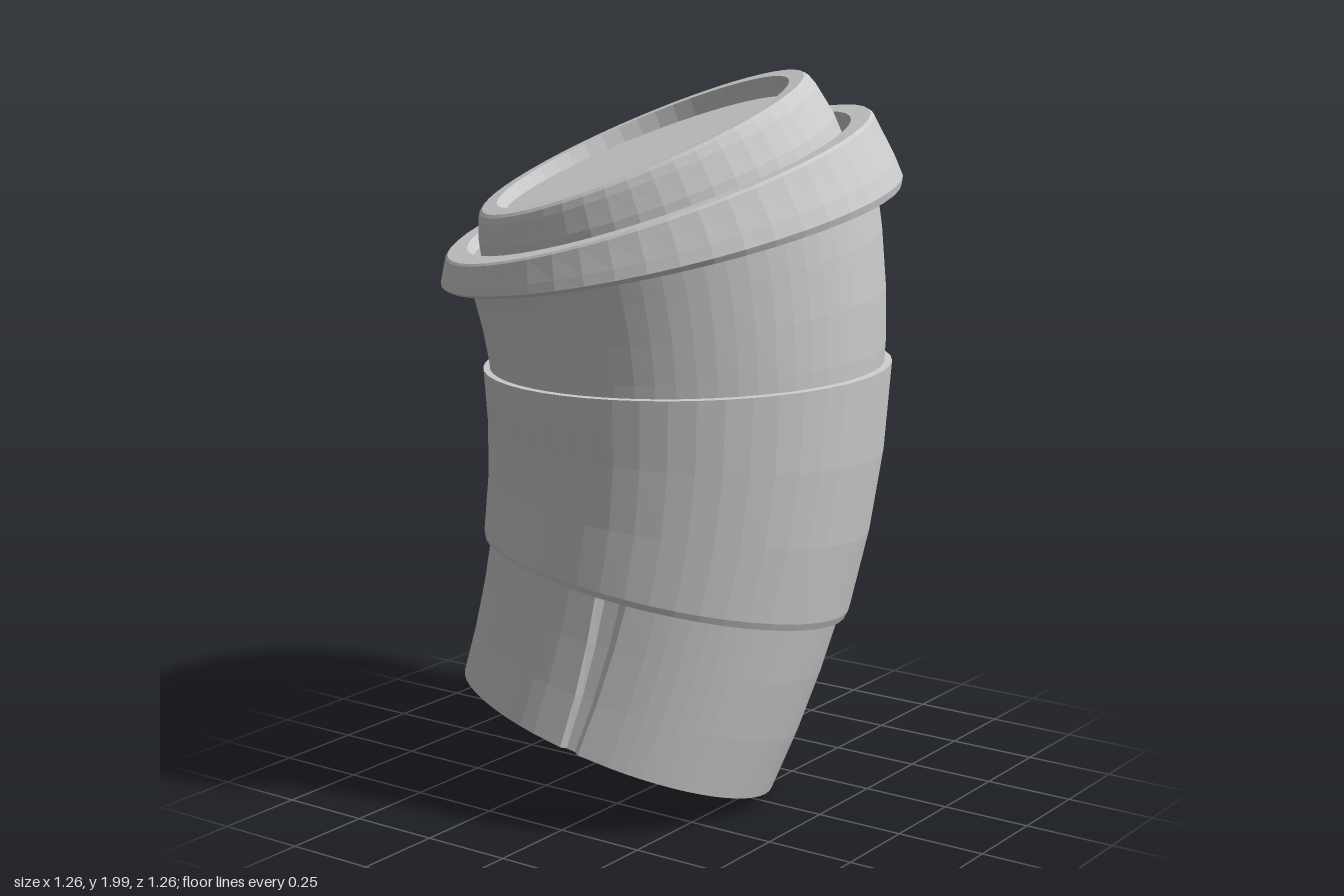
import * as THREE from 'three';

const DEG = Math.PI / 180;

// Lean of the cup's axis (degrees) at distances along it
const LEAN = [[0, 21], [0.47, 12.5], [1.06, -1.2], [1.4, -12], [1.55, -18.5], [1.68, -23], [1.8, -24]];

function leanAt(s) {
  for (let i = 1; i < LEAN.length; i++) {
    const [s0, a0] = LEAN[i - 1], [s1, a1] = LEAN[i];
    if (s <= s1) return (a0 + (a1 - a0) * (s - s0) / (s1 - s0)) * DEG;
  }
  return LEAN[LEAN.length - 1][1] * DEG;
}

// Point on the bent axis: u runs diagonally towards +x and -z
function axisAt(s) {
  let u = -0.145, y = 0.168;
  const n = 60, step = s / n;
  for (let i = 0; i < n; i++) {
    const a = leanAt((i + 0.5) * step);
    u += Math.sin(a) * step;
    y += Math.cos(a) * step;
  }
  return { u, y };
}

// Bends an upright turned shape along the axis
function bend(geometry) {
  const p = geometry.attributes.position;
  const cache = new Map();
  for (let i = 0; i < p.count; i++) {
    const s = p.getY(i), key = s.toFixed(4);
    if (!cache.has(key)) cache.set(key, { ...axisAt(s), a: leanAt(s) });
    const c = cache.get(key);
    const u = (p.getX(i) - p.getZ(i)) * Math.SQRT1_2;
    const v = (p.getX(i) + p.getZ(i)) * Math.SQRT1_2;
    const bu = c.u + u * Math.cos(c.a);
    p.setXYZ(i, (bu + v) * Math.SQRT1_2, c.y - u * Math.sin(c.a), (v - bu) * Math.SQRT1_2);
  }
  geometry.computeVertexNormals();
  return geometry;
}

const turned = (profile, sides, start = 0) =>
  new THREE.LatheGeometry(profile.map(([r, s]) => new THREE.Vector2(r, s)), sides, start);

// Presses a narrow seam into the cup wall, widening upwards
function pressSeam(geometry, angle, step) {
  const p = geometry.attributes.position;
  for (let i = 0; i < p.count; i++) {
    const x = p.getX(i), s = p.getY(i), z = p.getZ(i);
    const r = Math.hypot(x, z);
    if (r < 0.44 || s > 0.8) continue;
    let d = Math.atan2(x, z) - angle;
    d = Math.atan2(Math.sin(d), Math.cos(d));
    const column = Math.abs(d) / step;
    if (column > 1.6) continue;
    const inner = column < 1;
    const width = (3.2 + 4 * s) * DEG;
    const a = angle + Math.sign(d) * width * (inner ? 0.5 : 1);
    const nr = inner ? r - 0.018 : r;
    p.setXYZ(i, nr * Math.sin(a), s, nr * Math.cos(a));
  }
  return geometry;
}

export function createModel() {
  const group = new THREE.Group();
  const grey = new THREE.MeshStandardMaterial({ color: 0xcccccc, flatShading: true });
  grey.name = 'light grey';

  const add = (name, geometry) => {
    const mesh = new THREE.Mesh(bend(geometry), grey);
    mesh.name = name;
    group.add(mesh);
  };

  // Tapered cup with a recessed base and a rolled lip
  const wall = s => 0.461 + 0.074 * s;
  const cupProfile = [[0, 0.035], [0.4, 0.035], [0.405, 0], [wall(0), 0]];
  for (const s of [0.16, 0.32, 0.48, 0.64, 0.8, 0.95, 1.1, 1.22, 1.34, 1.425]) cupProfile.push([wall(s), s]);
  cupProfile.push([0.585, 1.43], [0.585, 1.455], [0.55, 1.46], [0, 1.46]);
  const sides = 64, step = Math.PI * 2 / sides, seam = 18 * DEG;
  add('cup', pressSeam(turned(cupProfile, sides, seam + step / 2), seam, step));

  // Sleeve around the middle
  const sleeveProfile = [[0.488, 0.47], [0.512, 0.462], [0.518, 0.48]];
  for (const s of [0.67, 0.86, 1.06]) sleeveProfile.push([0.518 + 0.07 * (s - 0.48), s]);
  sleeveProfile.push([0.535, 1.062]);
  add('sleeve', turned(sleeveProfile, 48));

  // Lid: skirt, groove, raised dome and sunken top
  add('lid', turned([
    [0, 1.49], [0.595, 1.49], [0.6, 1.425], [0.632, 1.42], [0.64, 1.435], [0.632, 1.47], [0.607, 1.555],
    [0.6, 1.562], [0.545, 1.562], [0.535, 1.515], [0.515, 1.515],
    [0.507, 1.58], [0.488, 1.65], [0.478, 1.672], [0.468, 1.68],
    [0.425, 1.68], [0.418, 1.635], [0, 1.635],
  ], 48));

  return group;
}
